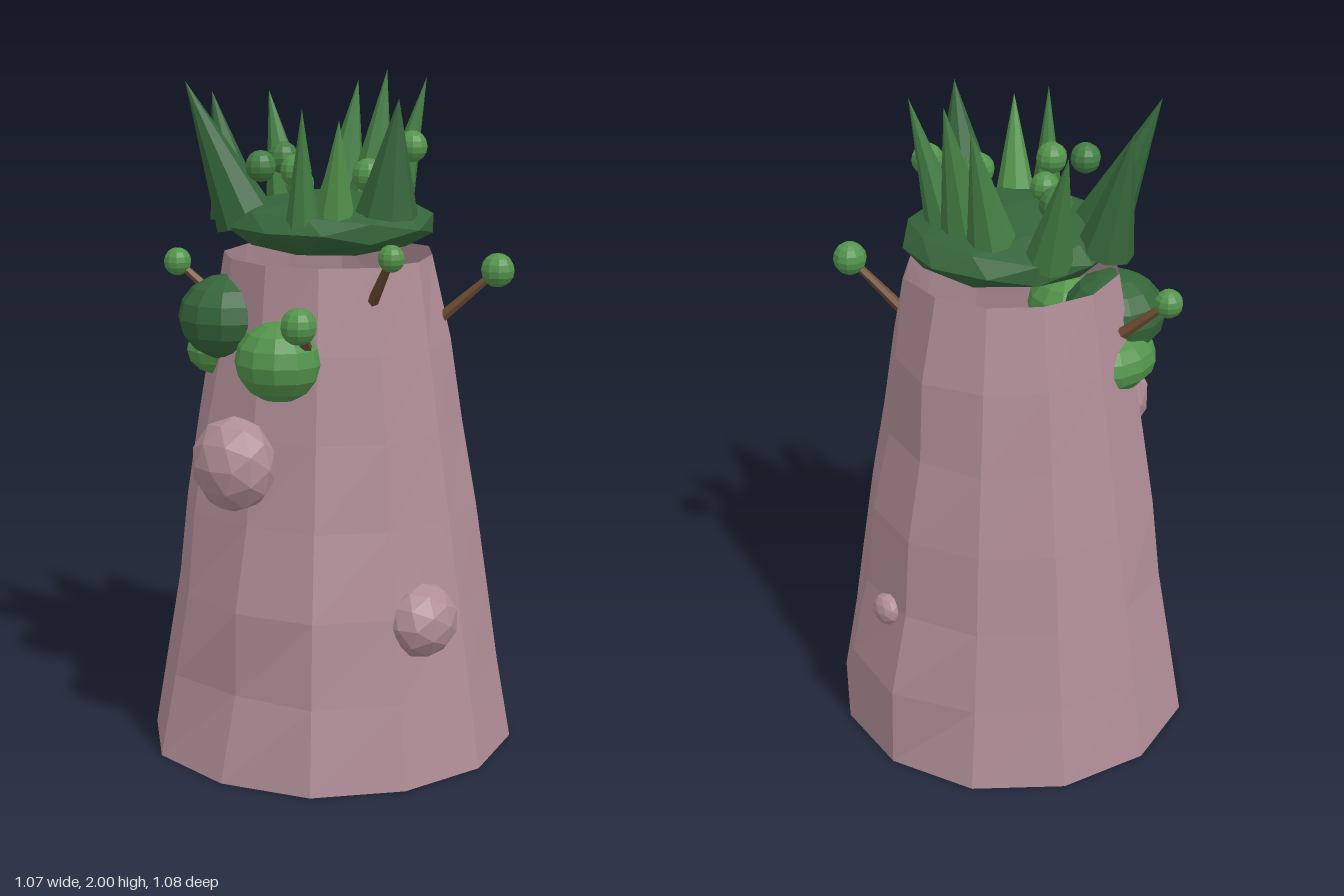
import * as THREE from 'three';

const mat = (name, color, extra = {}) => {
  const m = new THREE.MeshStandardMaterial({ color, flatShading: true, ...extra });
  m.name = name;
  return m;
};

export function createModel() {
  const root = new THREE.Group();
  root.name = 'treeStump';
  const bark = mat('pinkBark', 0xb08d96, { side: THREE.DoubleSide });
  const dark = mat('darkMoss', 0x35653a);
  const mid = mat('leafGreen', 0x437d43);
  const light = mat('lightGreen', 0x53944c);
  const brown = mat('twigBrown', 0x6e4c32);

  const add = (name, geo, material, pos = [0, 0, 0], scale = [1, 1, 1]) => {
    const mesh = new THREE.Mesh(geo, material);
    mesh.name = name;
    mesh.position.set(...pos);
    mesh.scale.set(...scale);
    root.add(mesh);
    return mesh;
  };

  // Tapered cylinder running from a to b
  const span = (name, a, b, rA, rB, sides, material) => {
    const from = new THREE.Vector3(...a), to = new THREE.Vector3(...b);
    const dir = to.clone().sub(from);
    const geo = rB === 0
      ? new THREE.ConeGeometry(rA, dir.length(), sides)
      : new THREE.CylinderGeometry(rB, rA, dir.length(), sides);
    const mesh = add(name, geo, material, from.add(to).multiplyScalar(0.5).toArray());
    mesh.quaternion.setFromUnitVectors(new THREE.Vector3(0, 1, 0), dir.normalize());
  };

  // Hollow trunk, open at both ends, with slightly uneven columns
  let seed = 7;
  const rand = () => (seed = (seed * 16807) % 2147483647) / 2147483647;
  const trunk = new THREE.CylinderGeometry(0.31, 0.54, 1.48, 12, 6, true);
  const leftSide = [0.31, 0.37, 0.385, 0.44, 0.46, 0.525, 0.53];
  const rightSide = [0.31, 0.335, 0.375, 0.405, 0.46, 0.465, 0.535];
  const p = trunk.attributes.position;
  for (let row = 0; row < 7; row++) {
    for (let col = 0; col <= 12; col++) {
      const i = row * 13 + col;
      let r = Math.hypot(p.getX(i), p.getZ(i));
      if (col === 3) r = leftSide[row];
      else if (col === 9) r = rightSide[row];
      else if (col % 6 !== 0) r += (rand() - 0.5) * 0.025;
      const a = (col % 12) * Math.PI / 6;
      p.setXYZ(i, Math.sin(a) * r, p.getY(i), Math.cos(a) * r);
    }
  }
  add('trunk', trunk, bark, [0, 0.74, 0]);

  // Bark knots
  const knot = new THREE.IcosahedronGeometry(1, 1);
  add('frontKnot', knot, bark, [-0.13, 0.47, 0.42], [0.12, 0.11, 0.1]);
  add('sideKnot', knot, bark, [-0.41, 0.92, -0.04], [0.11, 0.14, 0.13]);
  add('smallKnot', knot, bark, [0.45, 0.475, 0.09], [0.035, 0.05, 0.05]);

  // Mossy cap
  add('mossCap', new THREE.IcosahedronGeometry(1, 1), dark, [0.005, 1.57, 0], [0.315, 0.092, 0.31]);

  // Moss clumps clinging to the bark
  const clump = new THREE.SphereGeometry(1, 12, 8);
  [
    ['darkClump', dark, [-0.24, 1.305, -0.19], [0.15, 0.125, 0.15]],
    ['sideClump', light, [-0.325, 1.215, 0.06], [0.125, 0.115, 0.13]],
    ['backClump', light, [-0.16, 1.2, -0.25], [0.15, 0.09, 0.12]],
  ].forEach(([name, m, pos, s]) => add(name, clump, m, pos, s));

  // Leaf spikes: base, tip, radius, colour
  [
    [[-0.17, 1.58, -0.18], [-0.28, 1.98, -0.31], 0.09, dark],
    [[-0.06, 1.62, 0.24], [-0.075, 1.945, 0.29], 0.09, dark],
    [[-0.08, 1.58, -0.28], [-0.1, 1.94, -0.36], 0.085, dark],
    [[0.1, 1.59, -0.23], [0.14, 1.93, -0.335], 0.07, mid],
    [[0.16, 1.6, -0.08], [0.235, 1.965, -0.07], 0.075, mid],
    [[0.15, 1.6, 0.03], [0.22, 2.0, 0.045], 0.075, mid],
    [[0.13, 1.6, 0.13], [0.205, 1.985, 0.195], 0.06, mid],
    [[-0.16, 1.6, 0.13], [-0.22, 1.89, 0.19], 0.06, light],
    [[-0.23, 1.58, 0.07], [-0.27, 1.92, 0.1], 0.05, mid],
  ].forEach(([a, b, r, m]) => span('leafSpike', a, b, r, 0, 8, m));

  // Buds resting among the spikes
  const bud = new THREE.SphereGeometry(1, 10, 8);
  [
    [-0.245, 1.75, -0.065, 0.045, mid],
    [-0.2, 1.74, 0.025, 0.046, light],
    [-0.115, 1.69, -0.025, 0.043, light],
    [-0.03, 1.72, 0.155, 0.048, light],
    [0.053, 1.74, -0.215, 0.048, mid],
    [0.14, 1.79, 0.19, 0.046, light],
  ].forEach(([x, y, z, r, m]) => add('bud', bud, m, [x, y, z], [r, r, r]));

  // Twigs with a bud at the end
  [
    [[-0.16, 1.375, 0.26], [-0.26, 1.53, 0.395], 0.038],
    [[0.15, 1.28, 0.27], [0.225, 1.44, 0.435], 0.05],
    [[-0.32, 1.255, 0.155], [-0.42, 1.345, 0.2], 0.052],
    [[-0.12, 1.32, -0.32], [-0.172, 1.435, -0.442], 0.042],
  ].forEach(([a, b, r]) => {
    span('twig', a, b, 0.018, 0.011, 6, brown);
    add('twigBud', bud, light, b, [r, r, r]);
  });

  return root;
}
